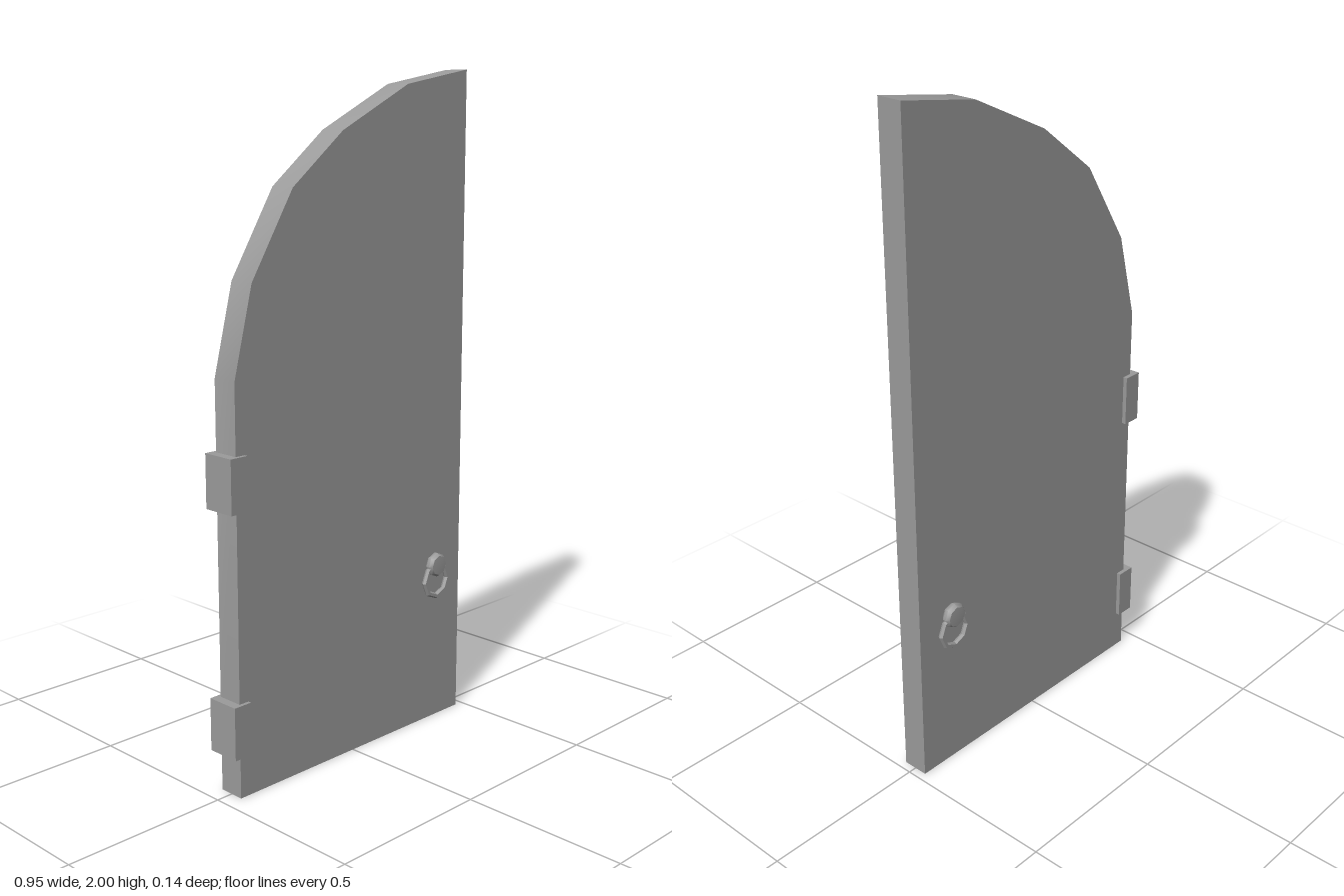
import * as THREE from 'three';
import { toCreasedNormals } from 'three/addons/utils/BufferGeometryUtils.js';

const smooth = new THREE.MeshStandardMaterial({ color: 0x9b9b9b });
const faceted = new THREE.MeshStandardMaterial({ color: 0x9b9b9b, flatShading: true });

function addPart(parent, name, geometry, material, x, y, z) {
  const mesh = new THREE.Mesh(geometry, material);
  mesh.name = name;
  mesh.position.set(x, y, z);
  parent.add(mesh);
}

// Pull handle: a rounded octagonal boss holding a hanging ring, facing +z
function createHandle(name) {
  const handle = new THREE.Group();
  handle.name = name;
  const profile = [[0.03, 0], [0.038, 0.009], [0.038, 0.019], [0.031, 0.029], [0, 0.031]]
    .map(([r, h]) => new THREE.Vector2(r, h));
  const boss = new THREE.LatheGeometry(profile, 8);
  boss.rotateX(Math.PI / 2);
  addPart(handle, 'handleBoss', toCreasedNormals(boss, 0.8), smooth, 0, 0.05, 0);
  addPart(handle, 'handleRing', new THREE.TorusGeometry(0.051, 0.009, 6, 8), faceted, 0, 0, 0.015);
  return handle;
}

export function createModel() {
  const model = new THREE.Group();
  model.name = 'archedDoor';

  // Door leaf: half of a pointed arch, smooth along the curved edge
  const outline = [
    [-0.448, 0], [0.475, 0], [0.475, 2], [0.22, 1.957], [-0.042, 1.832],
    [-0.232, 1.685], [-0.383, 1.443], [-0.448, 1.187],
  ].map(([x, y]) => new THREE.Vector2(x, y));
  const leaf = new THREE.ExtrudeGeometry(new THREE.Shape(outline), { depth: 0.08, bevelEnabled: false });
  leaf.translate(0, 0, -0.04);
  addPart(model, 'doorLeaf', toCreasedNormals(leaf, 0.6), smooth, 0, 0, 0);

  // Hinges wrapping the straight edge
  for (const [name, y] of [['lowerHinge', 0.203], ['upperHinge', 0.907]]) {
    addPart(model, name, new THREE.BoxGeometry(0.059, 0.156, 0.104), smooth, -0.4455, y, -0.001);
  }

  // One handle on each face
  const front = createHandle('frontHandle');
  front.position.set(0.354, 0.455, 0.038);
  const back = createHandle('backHandle');
  back.position.set(0.354, 0.455, -0.04);
  back.rotation.y = Math.PI;
  model.add(front, back);

  return model;
}
